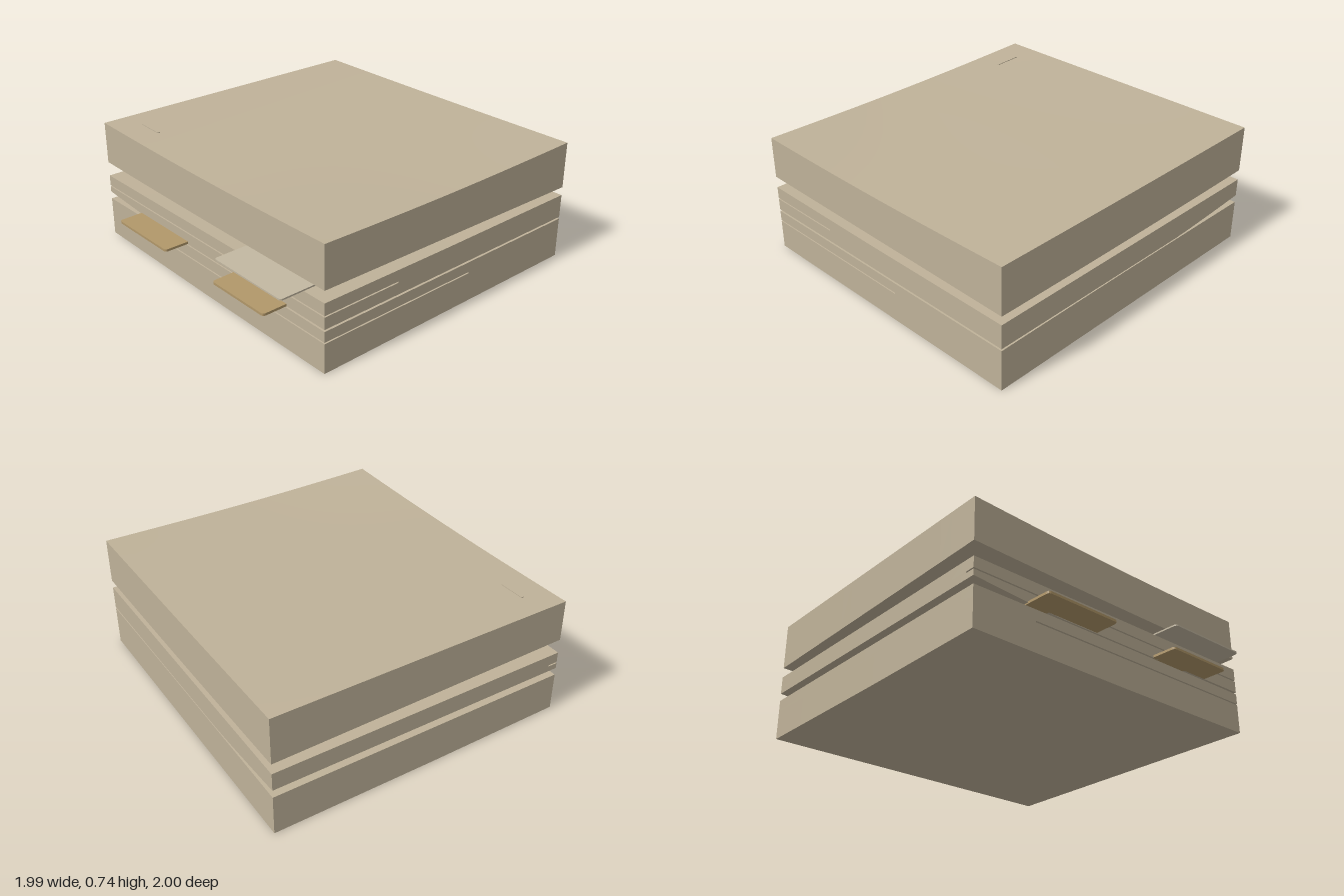
import * as THREE from 'three';

const paper = new THREE.MeshStandardMaterial({ color: 0xbfb299 });
paper.name = 'paper';
const tan = new THREE.MeshStandardMaterial({ color: 0xb2986a });
tan.name = 'tan card';
const pale = new THREE.MeshStandardMaterial({ color: 0xc3b8a1 });
pale.name = 'pale sheet';

// Box whose bottom and top follow height rules: bottom(x, z), top(x, z)
function slab(name, [x0, x1], [z0, z1], bottom, top, material = paper, segments = 20) {
  const geometry = new THREE.BoxGeometry(x1 - x0, 1, z1 - z0, segments, 1, segments);
  geometry.translate((x0 + x1) / 2, 0, (z0 + z1) / 2);
  const p = geometry.attributes.position;
  for (let i = 0; i < p.count; i++) {
    p.setY(i, (p.getY(i) > 0 ? top : bottom)(p.getX(i), p.getZ(i)));
  }
  geometry.computeVertexNormals();
  const mesh = new THREE.Mesh(geometry, material);
  mesh.name = name;
  return mesh;
}

const level = (y) => () => y;
const X = [-1, 0.99];
const Z = [-1, 0.85];

// Thin filler set back from the front, and from part of the right side, to leave a slit
function filler(name, y0, y1, sideEnd, leftEnd, rightEnd) {
  const group = new THREE.Group();
  group.name = name;
  const add = (part, x, z) => group.add(slab(part, x, z, level(y0), level(y1), paper, 1));
  add('fillerCore', [-1, 0.94], [-1, 0.79]);
  add('fillerSide', [0.94, 0.99], [-1, sideEnd]);
  if (leftEnd > -1) add('fillerFrontLeft', [-1, leftEnd], [0.79, 0.85]);
  if (rightEnd < 0.94) add('fillerFrontRight', [rightEnd, 0.94], [0.79, 0.85]);
  return group;
}

// Sheet with rounded corners lying flat and poking out at the front
function tab(name, [x0, x1], [z0, z1], y, thickness, material) {
  const r = 0.02;
  const s = new THREE.Shape();
  s.moveTo(x0, -z0);
  s.lineTo(x0 + 0.01, -z1 + r);
  s.quadraticCurveTo(x0 + 0.01, -z1, x0 + 0.01 + r, -z1);
  s.lineTo(x1 - r, -z1);
  s.quadraticCurveTo(x1, -z1, x1, -z1 + r);
  s.lineTo(x1, -z0);
  s.closePath();
  const geometry = new THREE.ExtrudeGeometry(s, { depth: thickness, bevelEnabled: false, curveSegments: 4 });
  geometry.rotateX(-Math.PI / 2);
  const mesh = new THREE.Mesh(geometry, material);
  mesh.name = name;
  mesh.position.y = y;
  return mesh;
}

export function createModel() {
  const model = new THREE.Group();
  model.name = 'paperStack';

  // Top block: gently sagging, its underside tilted towards the back right
  const sag = (x, z) => 0.016 * Math.cos((x * Math.PI) / 2) * (0.6 + 0.4 * z)
    + 0.014 * Math.max(0, x) * Math.cos((z * Math.PI) / 2);
  const topTop = (x, z) => 0.738 - 0.006 * x - sag(x, z);
  const topBottom = (x, z) => 0.465 + 0.014 * z + 0.006 * x * x - 0.006 * x;
  model.add(slab('topBlock', X, Z, topBottom, topTop));

  // Small loose sliver on the top
  const lift = (h) => (x, z) => topTop(x, z) + h;
  model.add(slab('topSliver', [-0.84, -0.67], [0.675, 0.69], lift(-0.004), lift(0.004), paper, 2));

  // Middle block: two layers with a slit between, left edge curled upwards
  const curl = (x) => 0.257 + 0.035 * Math.pow(Math.max(0, (-x - 0.4) / 0.6), 1.3);
  model.add(slab('middleLowerLayer', X, Z, curl, level(0.327)));
  model.add(filler('middleFiller', 0.327, 0.335, 0.35, -1, 0.94));
  model.add(slab('middleUpperLayer', X, Z, level(0.335), (x, z) => 0.4 + 0.004 * (x + 1) * Math.max(0, z)));

  // Bottom block: two layers with a short slit between
  const base = (x, z) => 0.01 * Math.max(0, -x) * Math.max(0, z);
  model.add(slab('bottomLowerLayer', X, Z, base, level(0.175)));
  model.add(filler('bottomFiller', 0.175, 0.183, -0.2, -0.6, 0.94));
  model.add(slab('bottomUpperLayer', X, Z, level(0.183), (x) => 0.249 - 0.004 * x * x));

  // Loose sheets poking out of the front
  model.add(tab('tanTabRight', [-0.66, -0.17], [0.5, 1], 0.261, 0.014, tan));
  model.add(tab('tanTabLeft', [0.26, 0.7], [0.5, 1], 0.257, 0.014, tan));
  model.add(tab('paleSheet', [0.29, 0.84], [0.27, 1], 0.41, 0.009, pale));

  return model;
}
